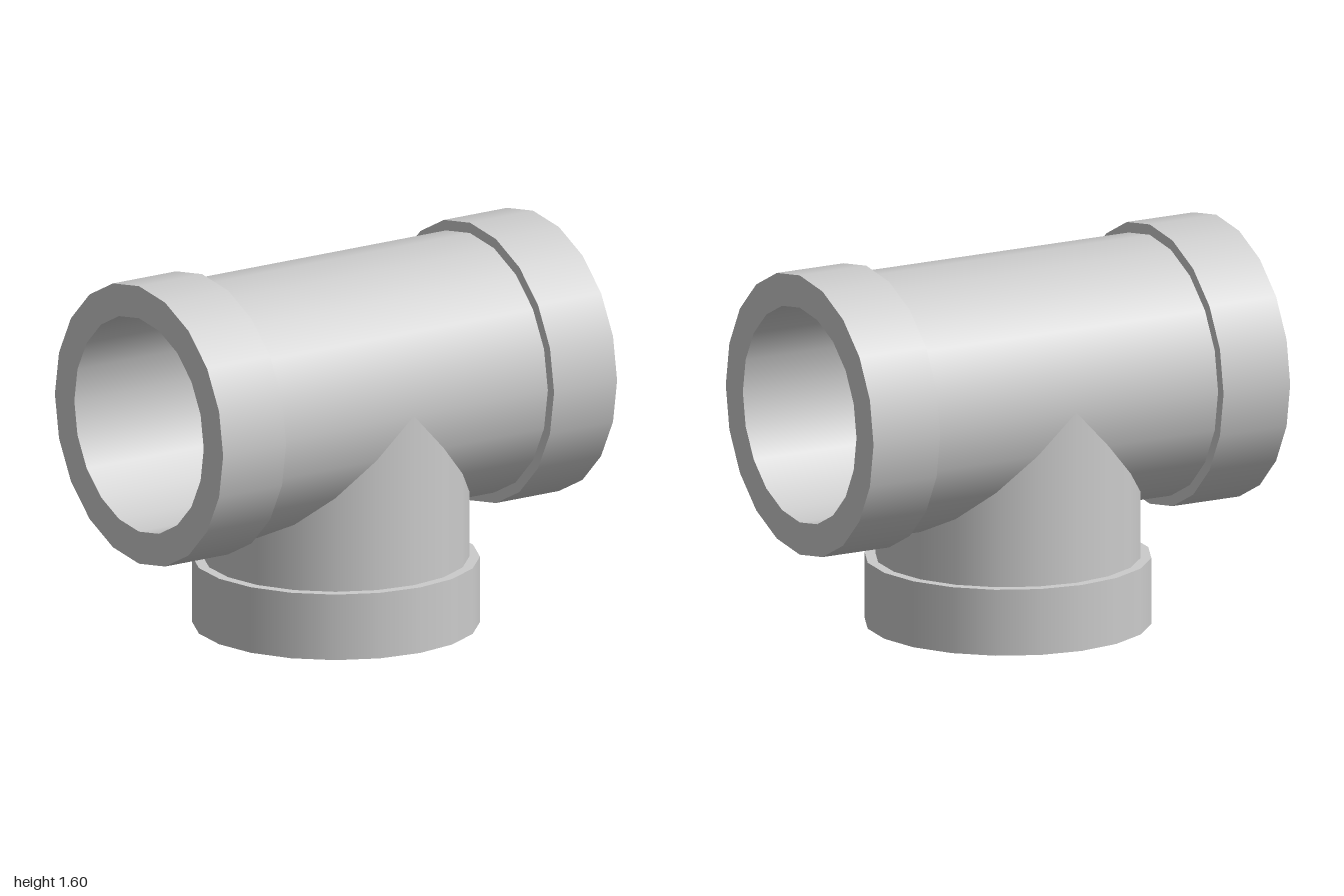
import * as THREE from 'three';
import { mergeGeometries } from 'three/addons/utils/BufferGeometryUtils.js';

const SIDES = 20;
const BORE = 0.456, BODY = 0.549, COLLAR = 0.593;
const AXIS_Y = 1.003; // height of the run's centre line

// One arm of the tee along +y from the centre, its inner end cut to the mitre.
// mitre(x) gives how far from the centre each wall line starts.
function armGeometry(collarStart, end, mitre) {
  const profile = [
    [BODY, 0], [BODY, collarStart], [COLLAR, collarStart],
    [COLLAR, end], [BORE, end], [BORE, 0],
  ].map(([r, y]) => new THREE.Vector2(r, y));

  // a separate strip per profile edge keeps the rims sharp and the walls smooth
  const strips = profile.slice(1).map((p, i) =>
    new THREE.LatheGeometry([profile[i], p], SIDES));
  const geometry = mergeGeometries(strips);

  const pos = geometry.attributes.position;
  for (let i = 0; i < pos.count; i++) {
    if (pos.getY(i) === 0) pos.setY(i, mitre(pos.getX(i)));
  }
  return geometry;
}

export function createModel() {
  const group = new THREE.Group();
  group.name = 'pipeTee';
  const material = new THREE.MeshStandardMaterial({ color: 0xcccccc });

  const addArm = (name, geometry) => {
    const mesh = new THREE.Mesh(geometry, material);
    mesh.name = name;
    mesh.position.y = AXIS_Y;
    group.add(mesh);
    return mesh;
  };

  // straight run: two opposite arms, each cut away on its lower half
  const runArm = armGeometry(0.68, 1, x => Math.max(0, x)).rotateZ(-Math.PI / 2);
  addArm('leftRunArm', runArm);
  addArm('rightRunArm', runArm).rotation.y = Math.PI;

  // downward branch, pointed where it meets the run at front and back
  const branch = armGeometry(AXIS_Y - 0.28, AXIS_Y, x => Math.abs(x)).rotateX(Math.PI);
  addArm('branchArm', branch);

  return group;
}
